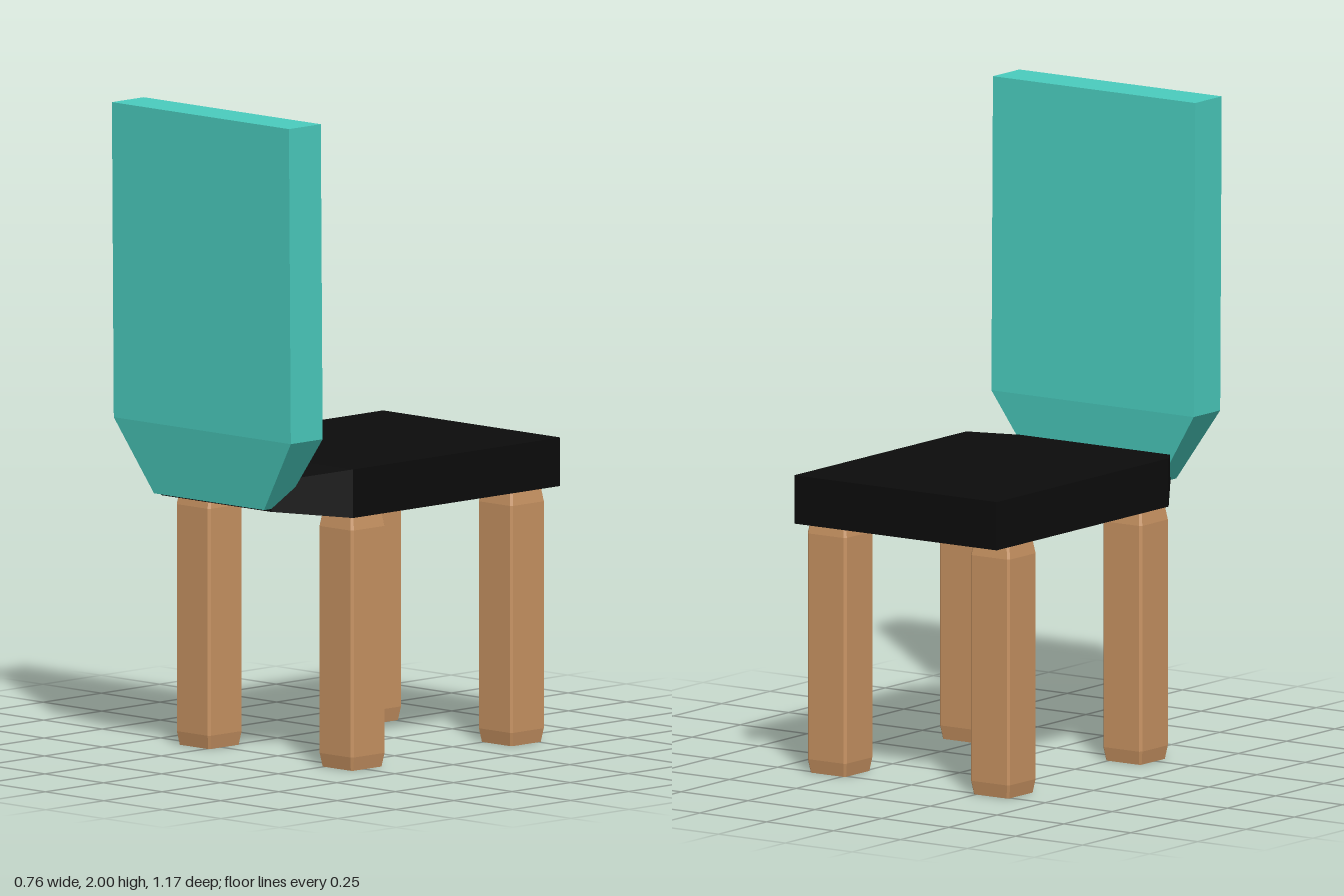
import * as THREE from 'three';

// Skins a stack of rings (each counter-clockwise seen from the far end) and caps both ends.
function loft(rings) {
  const n = rings[0].length, last = rings.length - 1, index = [];
  for (let i = 0; i < last; i++) {
    for (let j = 0; j < n; j++) {
      const a = i * n + j, b = i * n + (j + 1) % n;
      index.push(a, b, b + n, a, b + n, a + n);
    }
  }
  for (let j = 1; j < n - 1; j++) {
    index.push(0, j + 1, j);
    index.push(last * n, last * n + j, last * n + j + 1);
  }
  const geometry = new THREE.BufferGeometry();
  geometry.setAttribute('position', new THREE.Float32BufferAttribute(rings.flat(2), 3));
  geometry.setIndex(index);
  const flat = geometry.toNonIndexed();
  flat.computeVertexNormals();
  return flat;
}

// Rectangle ring at height y, from z0 (front of the panel) to z1.
const flatRing = (y, w, z0, z1) => [[w, y, z1], [w, y, z0], [-w, y, z0], [-w, y, z1]];

// Rectangle ring at depth z, from y0 to y1.
const uprightRing = (z, w, y0, y1) => [[w, y0, z], [w, y1, z], [-w, y1, z], [-w, y0, z]];

// Square ring with small cut corners.
function legRing(y, h, c) {
  const k = h - c;
  return [[h, k], [h, -k], [k, -h], [-k, -h], [-h, -k], [-h, k], [-k, h], [k, h]]
    .map(([x, z]) => [x, y, z]);
}

export function createModel() {
  const model = new THREE.Group();
  model.name = 'chair';
  const paint = (color) => new THREE.MeshStandardMaterial({ color, flatShading: true });
  const teal = paint(0x4accbe), black = paint(0x0c0c0c), wood = paint(0xc89362);

  const add = (name, geometry, material) => {
    const mesh = new THREE.Mesh(geometry, material);
    mesh.name = name;
    model.add(mesh);
    return mesh;
  };

  // Seat slab, tapering into the backrest
  add('seat', loft([
    uprightRing(-0.583, 0.378, 0.777, 0.926),
    uprightRing(0.308, 0.378, 0.777, 0.926),
    uprightRing(0.515, 0.235, 0.803, 0.895),
  ]), black);

  // Backrest panel, tapering down to the seat
  add('backrest', loft([
    flatRing(0.812, 0.235, 0.46, 0.546),
    flatRing(1.033, 0.378, 0.438, 0.575),
    flatRing(2, 0.378, 0.446, 0.583),
  ]), teal);

  // Four legs with eased edges and ends
  const legGeometry = loft([
    legRing(0, 0.066, 0.006),
    legRing(0.042, 0.073, 0.007),
    legRing(0.738, 0.073, 0.007),
    legRing(0.78, 0.066, 0.006),
  ]);
  for (const [side, x] of [['left', 0.305], ['right', -0.305]]) {
    for (const [end, z] of [['Front', 0.238], ['Back', -0.447]]) {
      add(`${side}${end}Leg`, legGeometry, wood).position.set(x, 0, z);
    }
  }

  return model;
}
